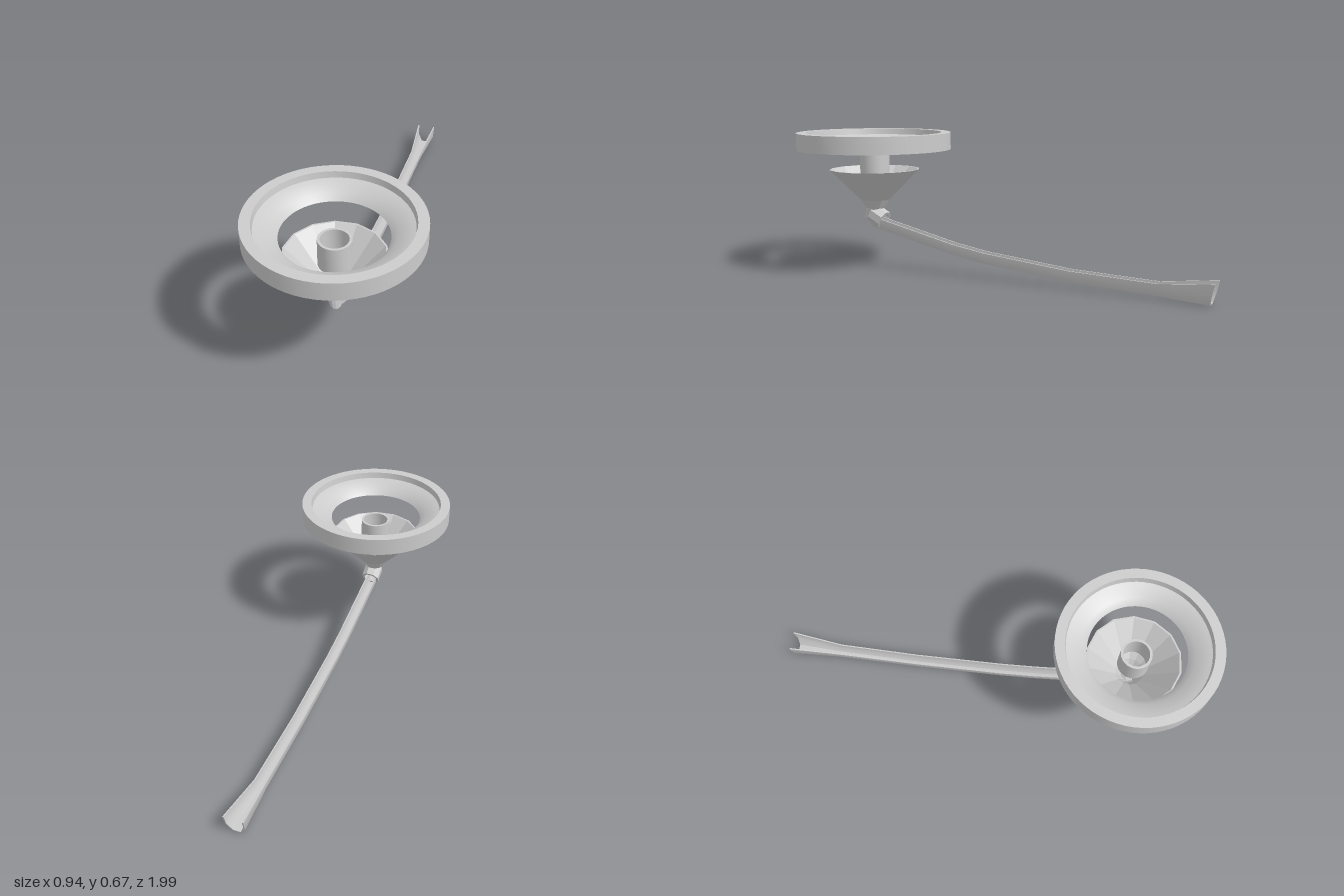
import * as THREE from 'three';
import { toCreasedNormals } from 'three/addons/utils/BufferGeometryUtils.js';

const CX = -0.1, CZ = 0.625; // shared axis of ring, tube and funnel
const smooth = new THREE.MeshStandardMaterial({ color: 0xcccccc, side: THREE.DoubleSide });
const faceted = new THREE.MeshStandardMaterial({ color: 0xcccccc, side: THREE.DoubleSide, flatShading: true });

// Closed or open profile of [radius, height] pairs turned about y
function turned(name, profile, sides, material) {
  let geometry = new THREE.LatheGeometry(profile.map(([r, y]) => new THREE.Vector2(r, y)), sides);
  if (material === smooth) geometry = toCreasedNormals(geometry, 0.5);
  const mesh = new THREE.Mesh(geometry, material);
  mesh.name = name;
  mesh.position.set(CX, 0, CZ);
  return mesh;
}

// Skin over rings of equal length, each ring a closed loop of Vector3
function loft(rings) {
  const n = rings[0].length, index = [];
  const positions = rings.flat().flatMap((p) => [p.x, p.y, p.z]);
  for (let s = 0; s < rings.length - 1; s++) {
    for (let i = 0; i < n; i++) {
      const a = s * n + i, b = s * n + ((i + 1) % n);
      index.push(a, b, a + n, b, b + n, a + n);
    }
  }
  // End caps join the outer half of the loop to the inner half
  for (const base of [0, (rings.length - 1) * n]) {
    for (let i = 0; i < n / 2 - 1; i++) {
      const a = base + i, b = a + 1, c = base + n - 1 - i, d = c - 1;
      if (base === 0) index.push(a, c, b, b, c, d);
      else index.push(a, b, c, b, d, c);
    }
  }
  const geometry = new THREE.BufferGeometry();
  geometry.setAttribute('position', new THREE.Float32BufferAttribute(positions, 3));
  geometry.setIndex(index);
  return toCreasedNormals(geometry, 0.6);
}

// U-shaped section: half width w, wall height h, wall thickness t
function channelSection(w, h, t) {
  const outer = [[-w, h], [-w * 0.95, h * 0.4], [-w * 0.5, 0], [w * 0.5, 0], [w * 0.95, h * 0.4], [w, h]];
  const inner = outer.map(([u, v], i) => {
    const atRim = i === 0 || i === 5;
    return [u - Math.sign(u) * t, atRim ? v : v + t];
  });
  return [...outer, ...inner.reverse()];
}

export function createModel() {
  const model = new THREE.Group();

  // Wide top ring with a stepped, dished inside
  model.add(turned('topRing', [
    [0.225, 0.583], [0.373, 0.583], [0.373, 0.665], [0.327, 0.665], [0.322, 0.636],
    [0.31, 0.632], [0.252, 0.612], [0.225, 0.583],
  ], 64, smooth));

  // Short open tube standing in the funnel mouth
  model.add(turned('innerTube', [
    [0.0715, 0.44], [0.0715, 0.565], [0.06, 0.565], [0.06, 0.44], [0.0715, 0.44],
  ], 28, smooth));

  // Faceted funnel whose spout bends forward and is cut at a slant
  const funnel = turned('funnel', [
    [0.026, 0.25], [0.046, 0.295], [0.072, 0.335], [0.22, 0.485],
    [0.212, 0.485], [0.066, 0.337], [0.04, 0.297], [0.021, 0.25], [0.026, 0.25],
  ], 14, faceted);
  const pos = funnel.geometry.attributes.position;
  for (let i = 0; i < pos.count; i++) {
    if (pos.getY(i) > 0.26) continue;
    pos.setY(i, pos.getY(i) - pos.getZ(i) * 0.5);
    pos.setZ(i, pos.getZ(i) + 0.03);
  }
  model.add(funnel);

  // Collar joining the spout to the channel
  const R = 0.046, r = 0.034, L = 0.035;
  const collar = new THREE.Mesh(new THREE.LatheGeometry(
    [[R, -L], [R, L], [r, L], [r, -L], [R, -L]].map(([a, b]) => new THREE.Vector2(a, b)), 8), faceted);
  collar.name = 'spoutCollar';
  collar.position.set(-0.088, 0.252, 0.605);
  collar.quaternion.setFromUnitVectors(new THREE.Vector3(0, 1, 0), new THREE.Vector3(0.3, -0.5, -0.9).normalize());
  model.add(collar);

  // Long sagging channel, flared at its far end: [z, bottom, half width, wall height, rim overhang]
  const stations = [
    [0.64, 0.2, 0.026, 0.055, 0],
    [0.2, 0.098, 0.026, 0.052, 0],
    [0.04, 0.071, 0.026, 0.052, 0],
    [-0.36, 0.028, 0.026, 0.054, 0],
    [-0.74, 0.012, 0.028, 0.056, 0],
    [-0.955, 0, 0.047, 0.096, 0.022],
  ];
  const along = new THREE.Vector3(0.312, 0, -0.95);
  const across = new THREE.Vector3(0.95, 0, 0.312);
  const rings = stations.map(([z, bottom, w, h, overhang]) =>
    channelSection(w, h, 0.006).map(([u, v]) =>
      new THREE.Vector3(0.107 - 0.328 * z, bottom + v, z)
        .addScaledVector(across, u)
        .addScaledVector(along, overhang * (v / h))));
  const channel = new THREE.Mesh(loft(rings), smooth);
  channel.name = 'channel';
  model.add(channel);

  return model;
}
